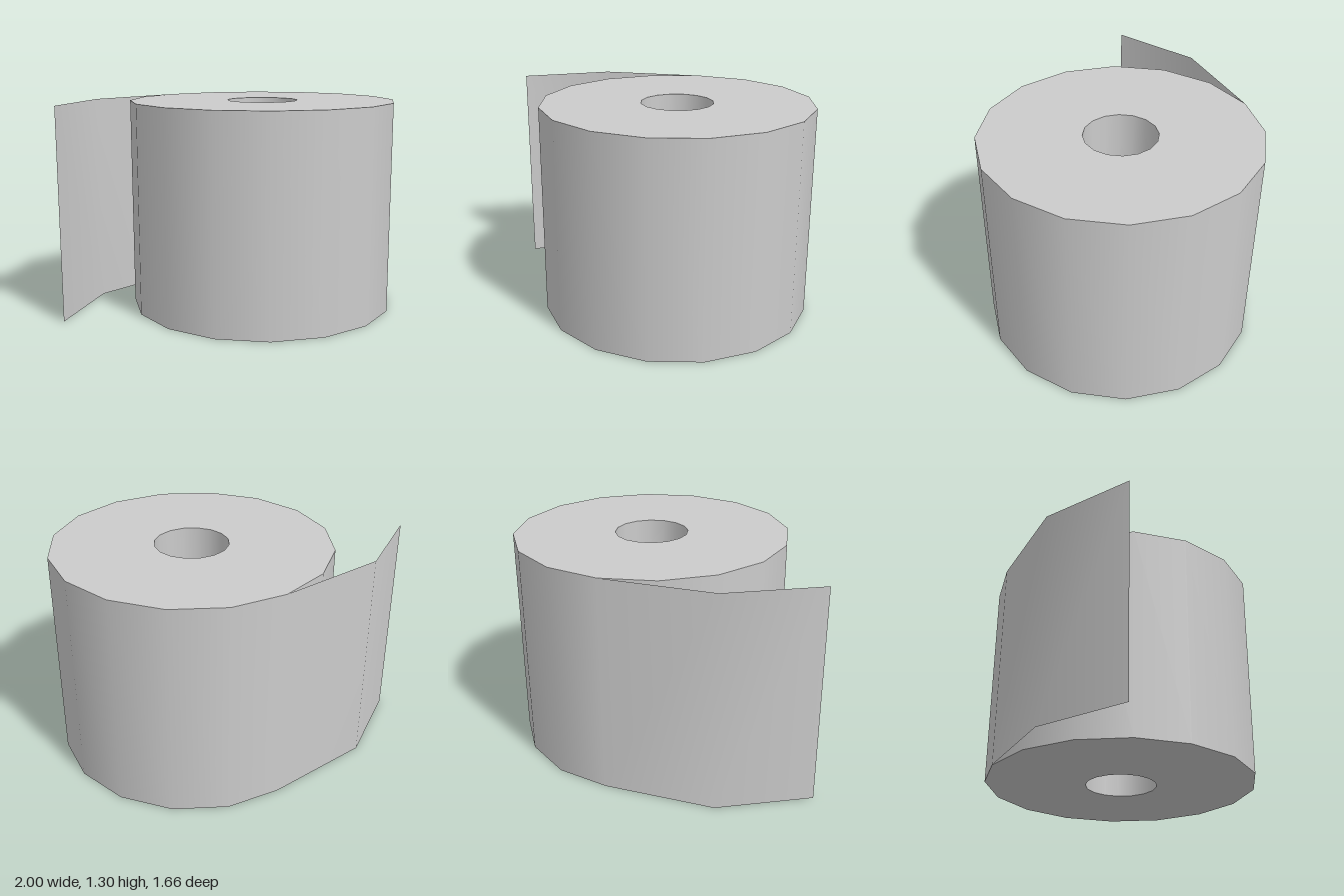
import * as THREE from 'three';

const HEIGHT = 1.3, OUTER = 0.83, INNER = 0.22, SIDES = 16, CENTRE_X = 0.17;

// One ring-shaped surface swept from a straight profile edge
function sweptFace(name, from, to, material) {
  const points = [new THREE.Vector2(...from), new THREE.Vector2(...to)];
  const mesh = new THREE.Mesh(new THREE.LatheGeometry(points, SIDES), material);
  mesh.name = name;
  return mesh;
}

export function createModel() {
  const model = new THREE.Group();
  model.name = 'paperRoll';
  const paper = new THREE.MeshStandardMaterial({ color: 0xcccccc });
  const thinPaper = new THREE.MeshStandardMaterial({ color: 0xcccccc, side: THREE.DoubleSide });

  // Hollow roll: smooth walls with crisp rims
  const roll = new THREE.Group();
  roll.name = 'roll';
  roll.position.x = CENTRE_X;
  const corners = [[OUTER, 0], [OUTER, HEIGHT], [INNER, HEIGHT], [INNER, 0]];
  ['outerWall', 'topFace', 'coreWall', 'bottomFace'].forEach((name, i) =>
    roll.add(sweptFace(name, corners[i], corners[(i + 1) % 4], paper)));
  model.add(roll);

  // Loose end of the sheet: leaves the back tangentially, then bends forward
  const path = [[CENTRE_X, -OUTER], [-0.49, -OUTER], [-1, -0.56]];
  const positions = [], indices = [];
  path.forEach(([x, z], i) => {
    positions.push(x, 0, z, x, HEIGHT, z);
    if (i > 0) {
      const a = 2 * (i - 1);
      indices.push(a, a + 3, a + 2, a, a + 1, a + 3);
    }
  });
  const geometry = new THREE.BufferGeometry();
  geometry.setAttribute('position', new THREE.Float32BufferAttribute(positions, 3));
  geometry.setIndex(indices);
  geometry.computeVertexNormals();
  const sheet = new THREE.Mesh(geometry, thinPaper);
  sheet.name = 'looseSheet';
  model.add(sheet);

  return model;
}
